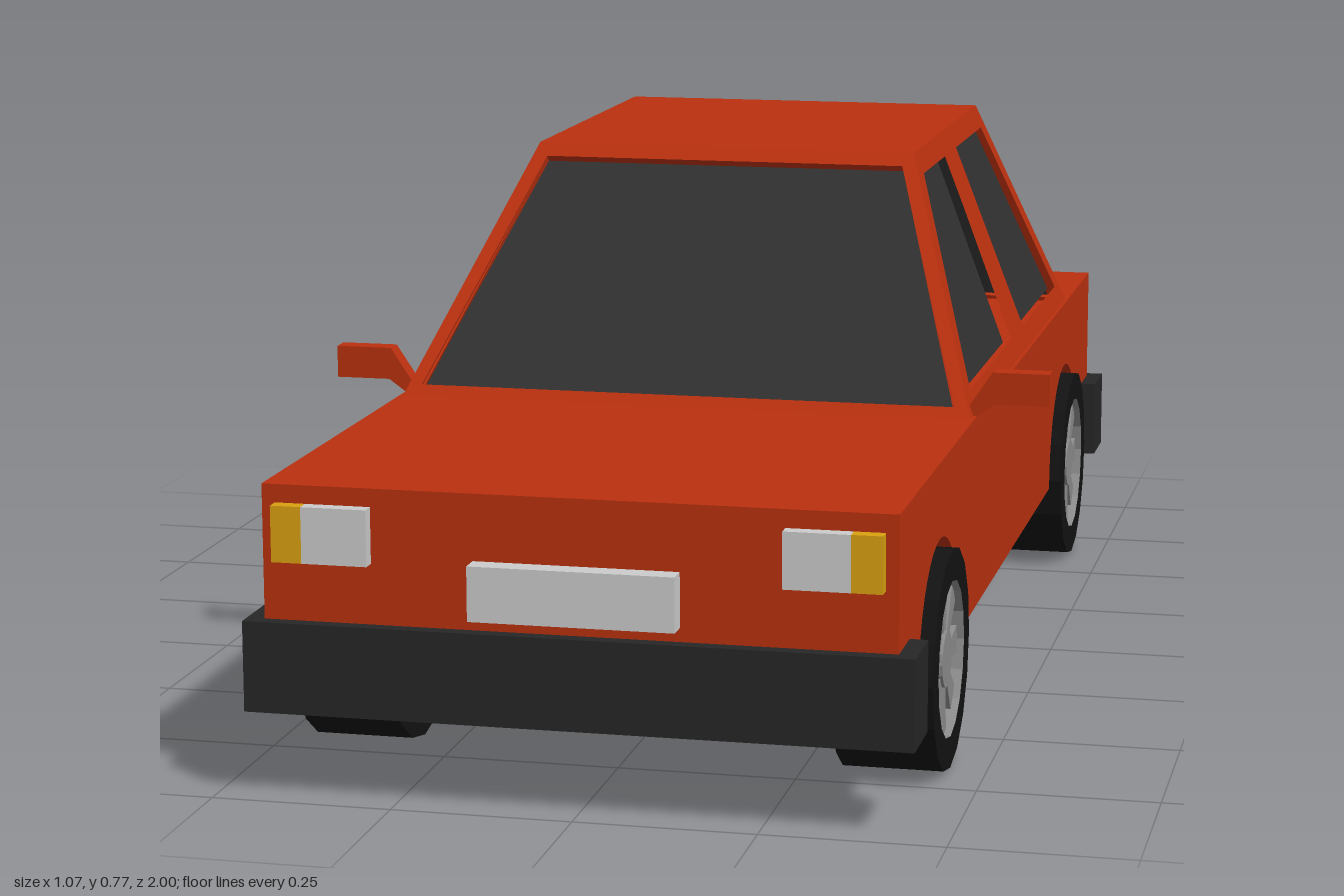
import * as THREE from 'three';

const mat = (color, extra = {}) => new THREE.MeshStandardMaterial({ color, flatShading: true, ...extra });
const RED = mat(0xb9300f), DARK = mat(0x262626), TYRE = mat(0x121212), GREY = mat(0xcccccc);
const SPOKE = mat(0x8c8c8c), AMBER = mat(0xd9a010), LAMP_RED = mat(0xc41010);
const GLASS = mat(0x303030, { side: THREE.DoubleSide });

const toShape = pts => new THREE.Shape(pts.map(p => new THREE.Vector2(...p)));
const extrude = (shape, depth) =>
  new THREE.ExtrudeGeometry(shape, { depth, bevelEnabled: false, curveSegments: 10 });

function add(parent, name, geometry, material) {
  const mesh = new THREE.Mesh(geometry, material);
  mesh.name = name;
  parent.add(mesh);
  return mesh;
}

// box given by its limits on each axis
function block(parent, name, [x0, x1], [y0, y1], [z0, z1], material) {
  const g = new THREE.BoxGeometry(Math.abs(x1 - x0), y1 - y0, Math.abs(z1 - z0));
  g.translate((x0 + x1) / 2, (y0 + y1) / 2, (z0 + z1) / 2);
  return add(parent, name, g, material);
}

const WHEEL_Z = 0.65, WHEEL_R = 0.155, BODY_Z = 0.97, SILL = 0.145, DECK = 0.43, ROOF = 0.775;

function makeBody() {
  const body = new THREE.Group();
  body.name = 'body';
  block(body, 'bodyCore', [-0.3, 0.3], [SILL, DECK], [-BODY_Z, BODY_Z], RED);
  // outer flanks with round wheel arches
  const s = new THREE.Shape();
  const r = 0.168, a = Math.asin((SILL - WHEEL_R) / r);
  s.moveTo(-BODY_Z, SILL);
  for (const z of [-WHEEL_Z, WHEEL_Z]) {
    s.lineTo(z - r * Math.cos(a), SILL);
    s.absarc(z, WHEEL_R, r, Math.PI - a, a, true);
  }
  s.lineTo(BODY_Z, SILL);
  s.lineTo(BODY_Z, DECK);
  s.lineTo(-BODY_Z, DECK);
  for (const x of [0.43, -0.3]) {
    add(body, x > 0 ? 'leftFlank' : 'rightFlank', extrude(s, 0.13).rotateY(-Math.PI / 2).translate(x, 0, 0), RED);
  }
  return body;
}

// sloping cabin wall: outline and windows are [across, height] pairs,
// "n" is the horizontal outward direction, "lean" the inward shift up to the roof
function cabinWall(name, n, dist, lean, outline, windows) {
  const wall = new THREE.Group();
  wall.name = name;
  const up = new THREE.Vector3(0, 1, 0), h = ROOF - DECK;
  const u = up.clone().cross(n);
  const v = up.clone().multiplyScalar(h).addScaledVector(n, -lean);
  const k = v.length() / h;
  v.normalize();
  const normal = u.clone().cross(v);
  const m = new THREE.Matrix4().makeBasis(u, v, normal)
    .setPosition(n.clone().multiplyScalar(dist).setY(DECK));
  const flat = pts => pts.map(([a, y]) => [a, (y - DECK) * k]);
  const frame = toShape(flat(outline));
  for (const w of windows) {
    const hole = toShape(flat(w));
    frame.holes.push(hole);
    add(wall, name + 'Glass', new THREE.ShapeGeometry(hole).translate(0, 0, -0.014).applyMatrix4(m), GLASS);
  }
  add(wall, name + 'Frame', extrude(frame, 0.022).translate(0, 0, -0.022).applyMatrix4(m), RED);
  return wall;
}

function makeCabin() {
  const cabin = new THREE.Group();
  cabin.name = 'cabin';
  const bottom = 0.425, top = 0.29, zf = 0.355, zfTop = 0.065, zb = -0.69, zbTop = -0.54;
  const end = [[-bottom, DECK], [bottom, DECK], [top, ROOF], [-top, ROOF]];
  const endGlass = [[-0.4, 0.445], [0.4, 0.445], [0.275, 0.756], [-0.275, 0.756]];
  cabin.add(cabinWall('windshield', new THREE.Vector3(0, 0, 1), zf, zf - zfTop, end, [endGlass]));
  cabin.add(cabinWall('rearWindow', new THREE.Vector3(0, 0, -1), -zb, zbTop - zb, end, [endGlass]));

  const side = [[zb, DECK], [zf, DECK], [zfTop, ROOF], [zbTop, ROOF]];
  const frontDoor = [[0.285, 0.46], [0.05, 0.742], [-0.15, 0.742], [-0.13, 0.46]];
  const rearDoor = [[-0.255, 0.46], [-0.255, 0.742], [-0.53, 0.742], [-0.645, 0.46]];
  for (const sx of [1, -1]) {
    const flip = pts => pts.map(([z, y]) => [-sx * z, y]);
    cabin.add(cabinWall(sx > 0 ? 'leftSide' : 'rightSide', new THREE.Vector3(sx, 0, 0), bottom,
      bottom - top, flip(side), [flip(frontDoor), flip(rearDoor)]));
  }
  block(cabin, 'roof', [-top, top], [ROOF - 0.02, ROOF], [zbTop, zfTop], RED);
  return cabin;
}

function makeWheel() {
  const wheel = new THREE.Group();
  const w = 0.07, rim = 0.11;
  const lathe = pts => new THREE.LatheGeometry(pts.map(p => new THREE.Vector2(...p)), 16).rotateZ(-Math.PI / 2);
  add(wheel, 'tyre', lathe([[0, -w], [WHEEL_R, -w], [WHEEL_R, w], [rim, w], [rim, w - 0.035], [0, w - 0.035]]), TYRE);
  add(wheel, 'rim', lathe([[rim, w], [rim - 0.003, w - 0.034]]), SPOKE);
  add(wheel, 'hub', new THREE.CylinderGeometry(0.04, 0.04, 0.03, 16).rotateZ(-Math.PI / 2).translate(w - 0.021, 0, 0), SPOKE);
  const spoke = extrude(toShape([[-0.009, 0.03], [0.009, 0.03], [0.021, 0.108], [-0.021, 0.108]]), 0.022)
    .rotateY(Math.PI / 2).translate(w - 0.032, 0, 0);
  for (let i = 0; i < 8; i++) add(wheel, 'spoke', spoke, SPOKE).rotation.x = i * Math.PI / 4;
  return wheel;
}

// bumper wrapping round the corners, with lamps and blank plate; s = 1 front, -1 rear
function makeEnd(s) {
  const g = new THREE.Group();
  g.name = s > 0 ? 'frontEnd' : 'rearEnd';
  const z = (a, b) => [s * a, s * b];
  block(g, 'bumper', [-0.455, 0.455], [0.12, 0.245], z(0.955, 0.99), DARK);
  const face = s > 0 ? 0.99 : 1, y = s > 0 ? [0.328, 0.405] : [0.336, 0.412];
  for (const sx of [1, -1]) {
    block(g, 'bumperCorner', [sx * 0.425, sx * 0.455], [0.12, 0.245], z(0.89, 0.96), DARK);
    block(g, s > 0 ? 'headlight' : 'tailLight', [sx * 0.28, sx * 0.37], y, z(0.96, face), s > 0 ? GREY : LAMP_RED);
    block(g, 'indicator', [sx * 0.37, sx * 0.412], y, z(0.96, face), AMBER);
  }
  block(g, 'plate', [-0.14, 0.14], [0.264, 0.339], z(0.96, s > 0 ? 1 : 0.985), GREY);
  return g;
}

function makeMirror(sx) {
  const g = new THREE.Group();
  g.name = sx > 0 ? 'leftMirror' : 'rightMirror';
  const pts = [[0.415, 0.43], [0.43, 0.43], [0.455, 0.448], [0.535, 0.448], [0.535, 0.495], [0.452, 0.495], [0.42, 0.447]];
  add(g, 'mirrorHousing', extrude(toShape(pts.map(([x, y]) => [sx * x, y])), 0.03).translate(0, 0, 0.297), RED);
  block(g, 'mirrorGlass', [sx * 0.462, sx * 0.528], [0.454, 0.489], [0.294, 0.3], DARK);
  return g;
}

export function createModel() {
  const car = new THREE.Group();
  car.name = 'car';
  car.add(makeBody(), makeCabin(), makeEnd(1), makeEnd(-1), makeMirror(1), makeMirror(-1));
  for (const sx of [1, -1]) {
    for (const sz of [1, -1]) {
      const wheel = makeWheel();
      wheel.name = (sz > 0 ? 'front' : 'rear') + (sx > 0 ? 'Left' : 'Right') + 'Wheel';
      wheel.position.set(sx * 0.378, WHEEL_R, sz * WHEEL_Z);
      if (sx < 0) wheel.rotation.y = Math.PI;
      car.add(wheel);
    }
  }
  return car;
}
